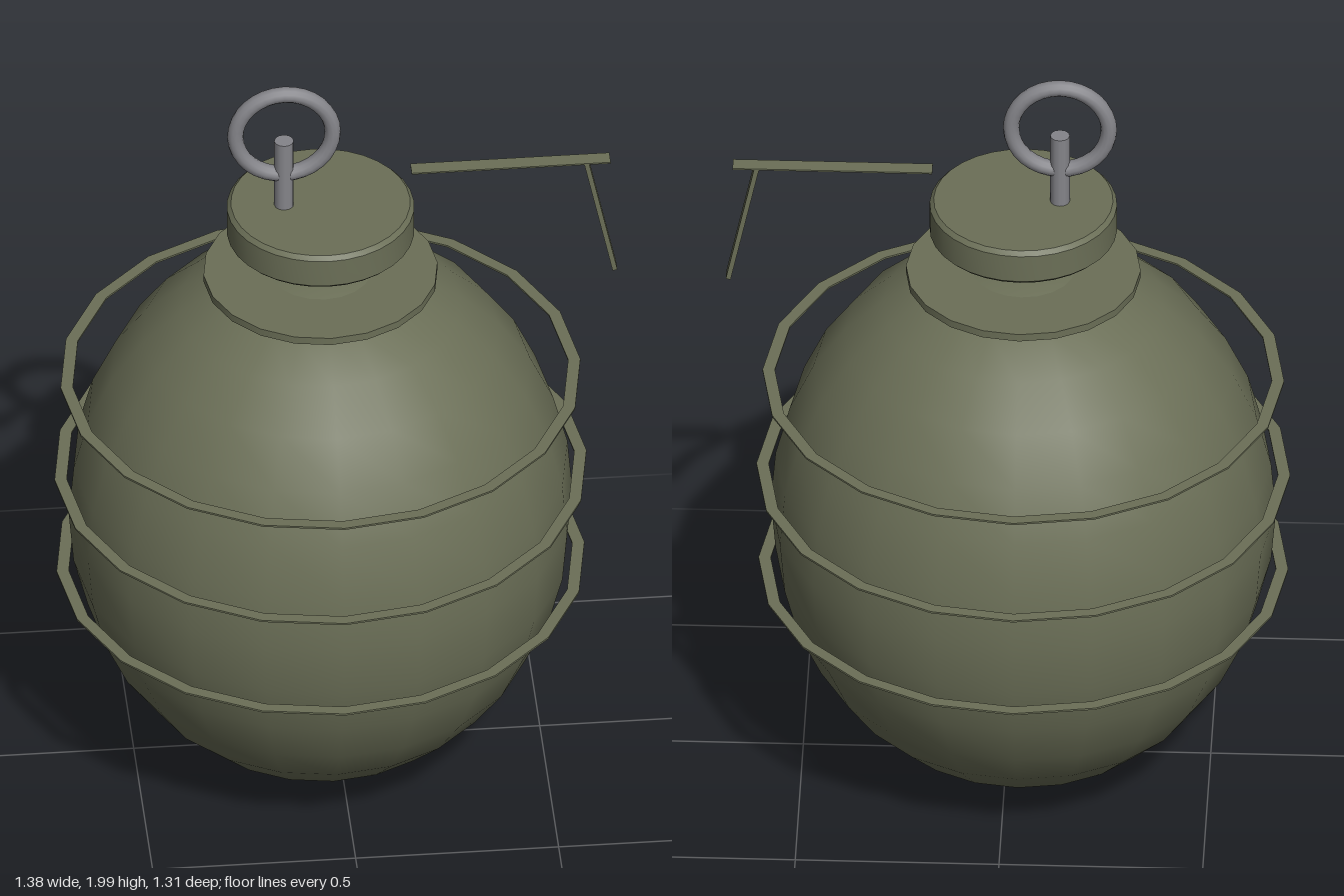
import * as THREE from 'three';
import { toCreasedNormals } from 'three/addons/utils/BufferGeometryUtils.js';

export function createModel() {
  const model = new THREE.Group();
  model.name = 'grenade';
  const olive = new THREE.MeshStandardMaterial({ color: 0x6b6f57 });
  olive.name = 'olive paint';
  const steel = new THREE.MeshStandardMaterial({ color: 0x85858a });
  steel.name = 'steel';
  const axisX = -0.04;
  const pinX = -0.13;

  function add(name, geometry, material, x, y, z = 0) {
    const mesh = new THREE.Mesh(geometry, material);
    mesh.name = name;
    mesh.position.set(x, y, z);
    model.add(mesh);
    return mesh;
  }

  // Turned part with crisp edges
  function turned(points, segments) {
    const profile = points.map(([r, y]) => new THREE.Vector2(r, y));
    return toCreasedNormals(new THREE.LatheGeometry(profile, segments), 0.6);
  }

  // Flat washer with a rectangular section
  function washer(inner, outer, height, segments) {
    const h = height / 2;
    return turned([[inner, -h], [outer, -h], [outer, h], [inner, h], [inner, -h]], segments);
  }

  // Egg-shaped body
  const body = new THREE.SphereGeometry(0.62, 20, 16);
  body.scale(1, 0.725 / 0.62, 1);
  add('body', body, olive, axisX, 0.733);

  // Three thin bands around the body
  [[0.56, 0.65], [0.84, 0.655], [1.12, 0.64]].forEach(([y, r], i) =>
    add('band' + (i + 1), washer(r - 0.03, r, 0.005, 20), olive, axisX, y));

  // Collar and cap
  add('collar', washer(0.12, 0.288, 0.02, 20), olive, axisX, 1.432);
  add('cap', turned([
    [0, 1.55], [0.22, 1.55], [0.23, 1.56], [0.23, 1.634], [0.22, 1.645], [0, 1.645],
  ], 32), olive, axisX, 0);

  // Safety pin and pull ring
  add('pin', new THREE.CylinderGeometry(0.024, 0.024, 0.305, 12), steel, pinX, 1.687);
  add('pullRing', new THREE.TorusGeometry(0.12, 0.02, 12, 32), steel, pinX, 1.86);

  // Lever: thin top strip and slanted handle
  add('leverTop', new THREE.BoxGeometry(0.49, 0.004, 0.04), olive, 0.428, 1.731);
  const handle = add('leverHandle', new THREE.BoxGeometry(0.012, 0.335, 0.036), olive, 0.649, 1.565);
  handle.rotation.z = Math.atan2(0.07, 0.33);

  return model;
}
